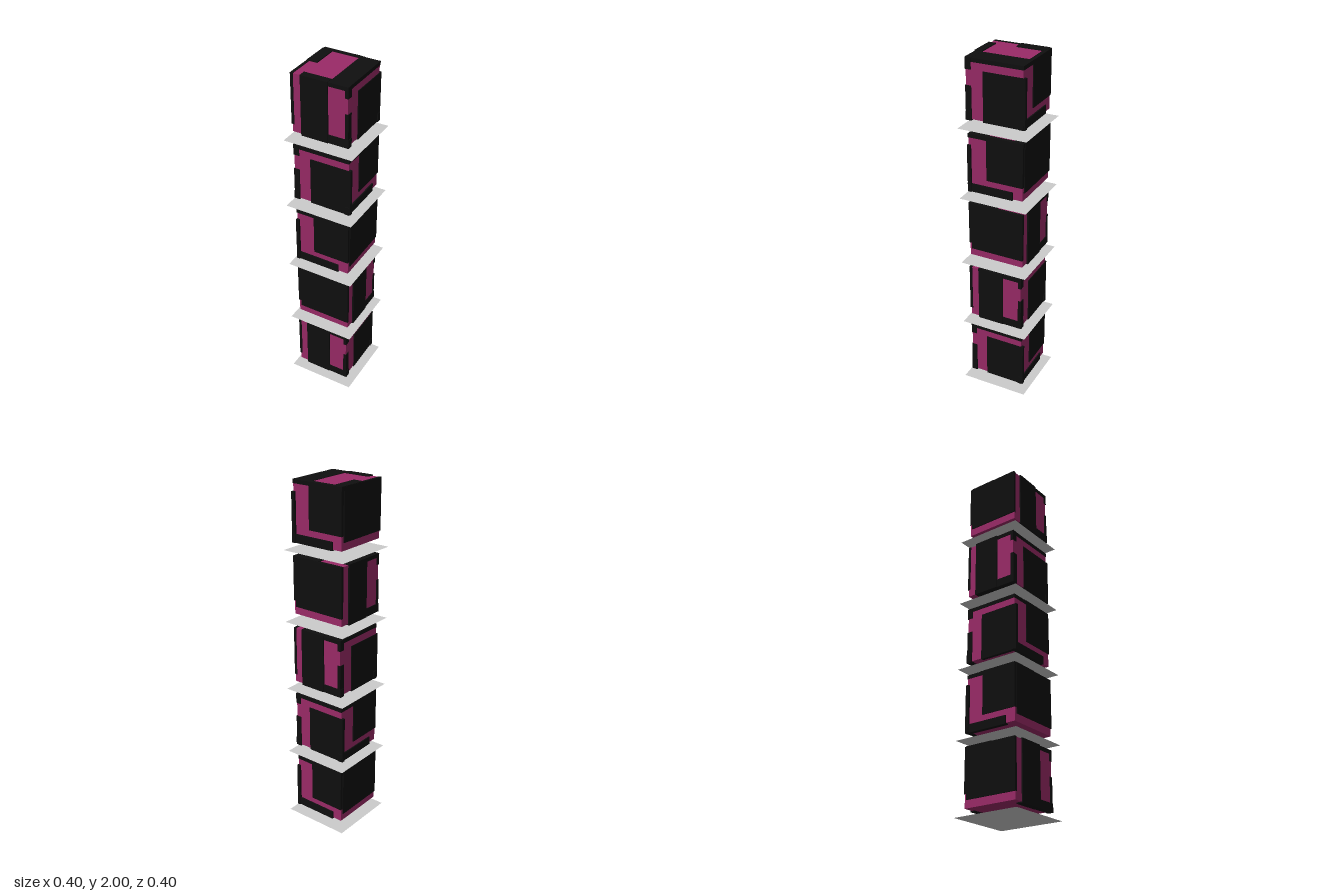
import * as THREE from 'three';

const pink = new THREE.MeshStandardMaterial({ color: 0x9a2a67 });
const black = new THREE.MeshStandardMaterial({ color: 0x0f0f0f });
const grey = new THREE.MeshStandardMaterial({ color: 0xcccccc, side: THREE.DoubleSide });

// Box given by its limits on each axis
function block(name, material, [x0, x1], [y0, y1], [z0, z1]) {
  const mesh = new THREE.Mesh(new THREE.BoxGeometry(x1 - x0, y1 - y0, z1 - z0), material);
  mesh.position.set((x0 + x1) / 2, (y0 + y1) / 2, (z0 + z1) / 2);
  mesh.name = name;
  return mesh;
}

// One cube: a coloured core wrapped in thin dark panels
function createCube() {
  const cube = new THREE.Group();
  const add = (...args) => cube.add(block(...args));
  add('core', pink, [-0.16, 0.155], [0.006, 0.329], [-0.158, 0.163]);

  // Front: full-height band and a low strip
  add('frontBand', black, [-0.107, 0.046], [0, 0.334], [0.13, 0.171]);
  add('frontLowStrip', black, [0.046, 0.162], [0, 0.047], [0.135, 0.167]);

  // Right side: large panel and two corner pieces
  add('rightPanel', black, [0.14, 0.159], [0, 0.27], [-0.171, 0.066]);
  add('rightLowCorner', black, [0.14, 0.159], [0, 0.186], [0.133, 0.166]);
  add('rightHighCorner', black, [0.14, 0.159], [0.27, 0.332], [0.133, 0.166]);

  // Back: upper panel and a low strip
  add('backPanel', black, [-0.162, 0.05], [0.082, 0.333], [-0.163, -0.14]);
  add('backLowStrip', black, [-0.103, 0.163], [0, 0.047], [-0.165, -0.14]);

  // Left side: one large panel
  add('leftPanel', black, [-0.166, -0.15], [0.049, 0.331], [-0.145, 0.165]);

  // Top: pieces framing the exposed part of the core
  add('topFront', black, [-0.105, 0.158], [0.31, 0.332], [0.128, 0.166]);
  add('topRight', black, [0.048, 0.158], [0.31, 0.3315], [-0.161, 0.15]);
  add('topBack', black, [-0.163, 0.07], [0.31, 0.3325], [-0.162, -0.143]);
  add('topLeft', black, [-0.165, -0.105], [0.31, 0.334], [-0.15, 0.01]);
  return cube;
}

export function createModel() {
  const model = new THREE.Group();
  model.name = 'cubeTower';
  const step = 0.406;

  // Five tiers, each a quarter turn from the one below
  for (let i = 0; i < 5; i++) {
    const plate = new THREE.Mesh(new THREE.PlaneGeometry(0.395, 0.395), grey);
    plate.rotation.x = -Math.PI / 2;
    plate.position.y = i * step;
    plate.name = 'plate';
    const cube = createCube();
    cube.name = 'cube';
    cube.position.y = i * step + 0.042;
    cube.rotation.y = (i * Math.PI) / 2;
    model.add(plate, cube);
  }
  return model;
}
